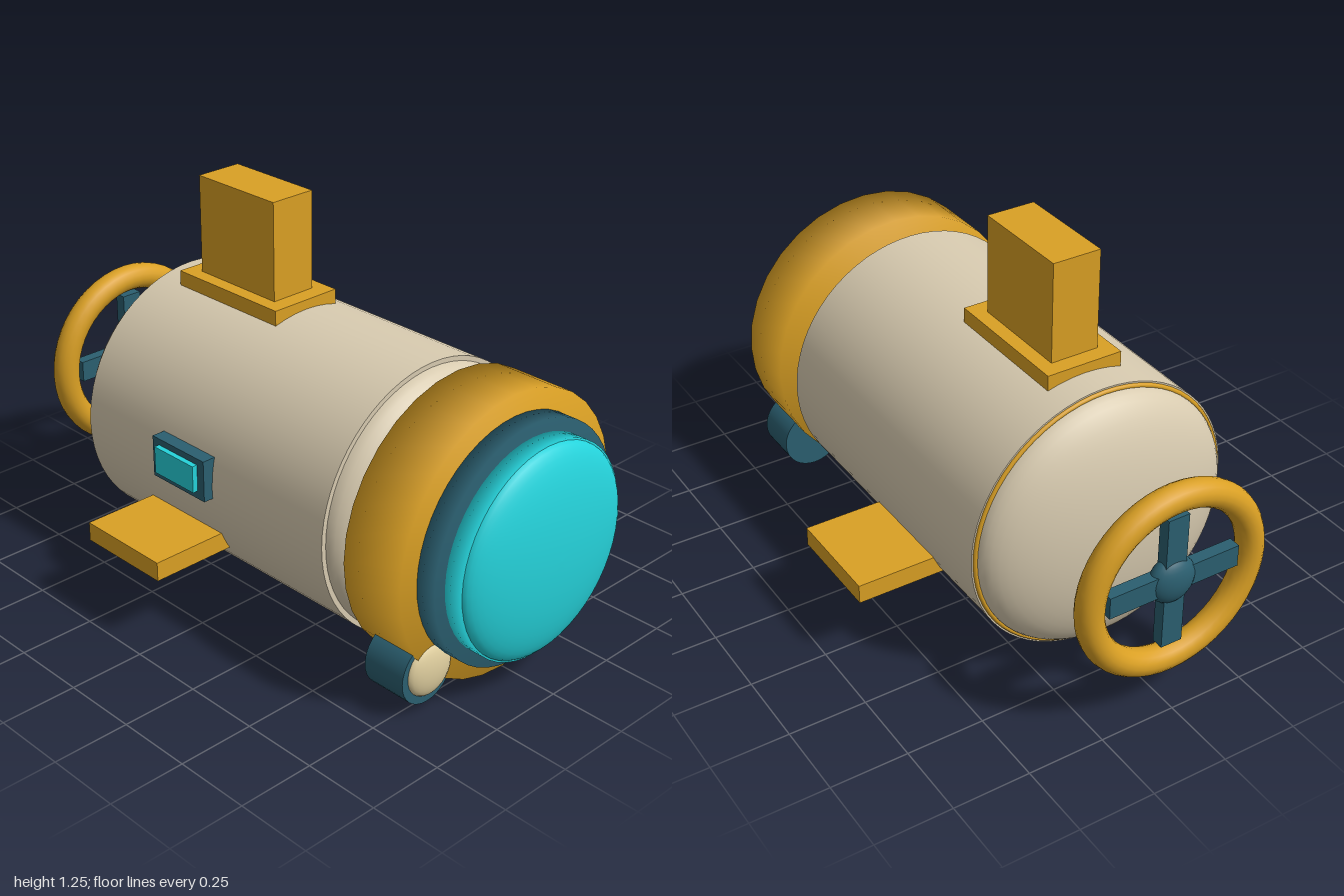
import * as THREE from 'three';

const mat = (name, color) => {
  const m = new THREE.MeshStandardMaterial({ color });
  m.name = name;
  return m;
};

export function createModel() {
  const group = new THREE.Group();
  const cream = mat('cream', 0xd8cbb0);
  const gold = mat('gold', 0xdaa024);
  const teal = mat('darkTeal', 0x2b5f70);
  const cyan = mat('cyan', 0x25d3db);
  const lampCream = mat('lampCream', 0xe0cf9f);
  const AXIS = 0.46;

  const add = (name, geo, material, x = 0, y = 0, z = 0) => {
    const mesh = new THREE.Mesh(geo, material);
    mesh.name = name;
    mesh.position.set(x, y, z);
    group.add(mesh);
    return mesh;
  };

  // box given by its minimum and maximum on each axis
  const box = (name, material, [x0, x1], [y0, y1], [z0, z1]) =>
    add(name, new THREE.BoxGeometry(x1 - x0, y1 - y0, z1 - z0), material,
      (x0 + x1) / 2, (y0 + y1) / 2, (z0 + z1) / 2);

  // surface turned around the x axis; profile is [x, radius] with rising x
  const turned = (name, material, profile, segments = 48, y = AXIS, z = 0) => {
    const geo = new THREE.LatheGeometry(profile.map(([x, r]) => new THREE.Vector2(r, x)), segments);
    geo.rotateZ(-Math.PI / 2);
    return add(name, geo, material, 0, y, z);
  };

  // quarter-ellipse profile from rim to tip (dir +1) or from tip to rim (dir -1)
  const dome = (x, r, depth, dir, n = 14) => {
    const pts = [];
    for (let i = 0; i <= n; i++) {
      const a = (i / n) * Math.PI / 2;
      pts.push([x + dir * depth * Math.sin(a), i === n ? 0 : r * Math.cos(a)]);
    }
    return dir > 0 ? pts : pts.reverse();
  };

  // hull
  const hull = new THREE.CylinderGeometry(0.445, 0.445, 1.085, 64);
  hull.rotateZ(Math.PI / 2);
  add('hull', hull, cream, -0.0625, AXIS, 0);
  turned('sternDome', cream, dome(-0.6, 0.43, 0.15, -1), 64);
  turned('bowDome', cream, dome(0.475, 0.43, 0.15, 1), 64);
  const seam = new THREE.TorusGeometry(0.432, 0.008, 8, 64);
  seam.rotateY(Math.PI / 2);
  add('sternSeam', seam, gold, -0.605, AXIS, 0);

  // bow collar and viewing port
  turned('bowCollar', gold, [[0.58, 0], [0.58, 0.455], [0.8, 0.455], [0.8, 0]], 32);
  turned('portFrame', teal, [[0.79, 0], [0.79, 0.387], [0.867, 0.387], [0.867, 0]]);
  turned('portRim', cyan, [[0.86, 0], [0.86, 0.345], [0.925, 0.345], [0.925, 0]]);
  turned('portGlass', cyan, dome(0.92, 0.34, 0.08, 1));

  // headlamps, mirrored
  for (const side of [1, -1]) {
    const housing = new THREE.CylinderGeometry(0.105, 0.105, 0.15, 32);
    housing.rotateZ(Math.PI / 2);
    add('lampHousing', housing, teal, 0.715, 0.135, side * 0.32);
    const lens = new THREE.SphereGeometry(0.088, 24, 16);
    lens.scale(0.36, 1, 1);
    add('lampLens', lens, lampCream, 0.788, 0.142, side * 0.315);
    box(side > 0 ? 'leftFin' : 'rightFin', gold, [-0.335, 0], [0.23, 0.293],
      side > 0 ? [0.36, 0.668] : [-0.668, -0.36]);
  }

  // tower
  box('towerBase', gold, [-0.508, -0.055], [0.885, 0.936], [-0.127, 0.127]);
  box('tower', gold, [-0.455, -0.112], [0.93, 1.26], [-0.08, 0.08]);

  // side window
  box('windowFrame', teal, [-0.24, 0], [0.428, 0.566], [0.43, 0.477]);
  box('windowGlass', cyan, [-0.21, -0.03], [0.455, 0.545], [0.47, 0.495]);

  // stern propeller
  const guard = new THREE.TorusGeometry(0.281, 0.044, 16, 48);
  guard.rotateY(Math.PI / 2);
  add('propellerGuard', guard, gold, -0.956, AXIS, 0);
  const hub = new THREE.SphereGeometry(0.078, 24, 16);
  hub.scale(0.56, 1, 1);
  add('propellerHub', hub, teal, -0.956, AXIS, 0);
  box('verticalBlades', teal, [-0.976, -0.936], [AXIS - 0.225, AXIS + 0.225], [-0.036, 0.036]);
  box('horizontalBlades', teal, [-0.976, -0.936], [AXIS - 0.036, AXIS + 0.036], [-0.225, 0.225]);

  return group;
}
